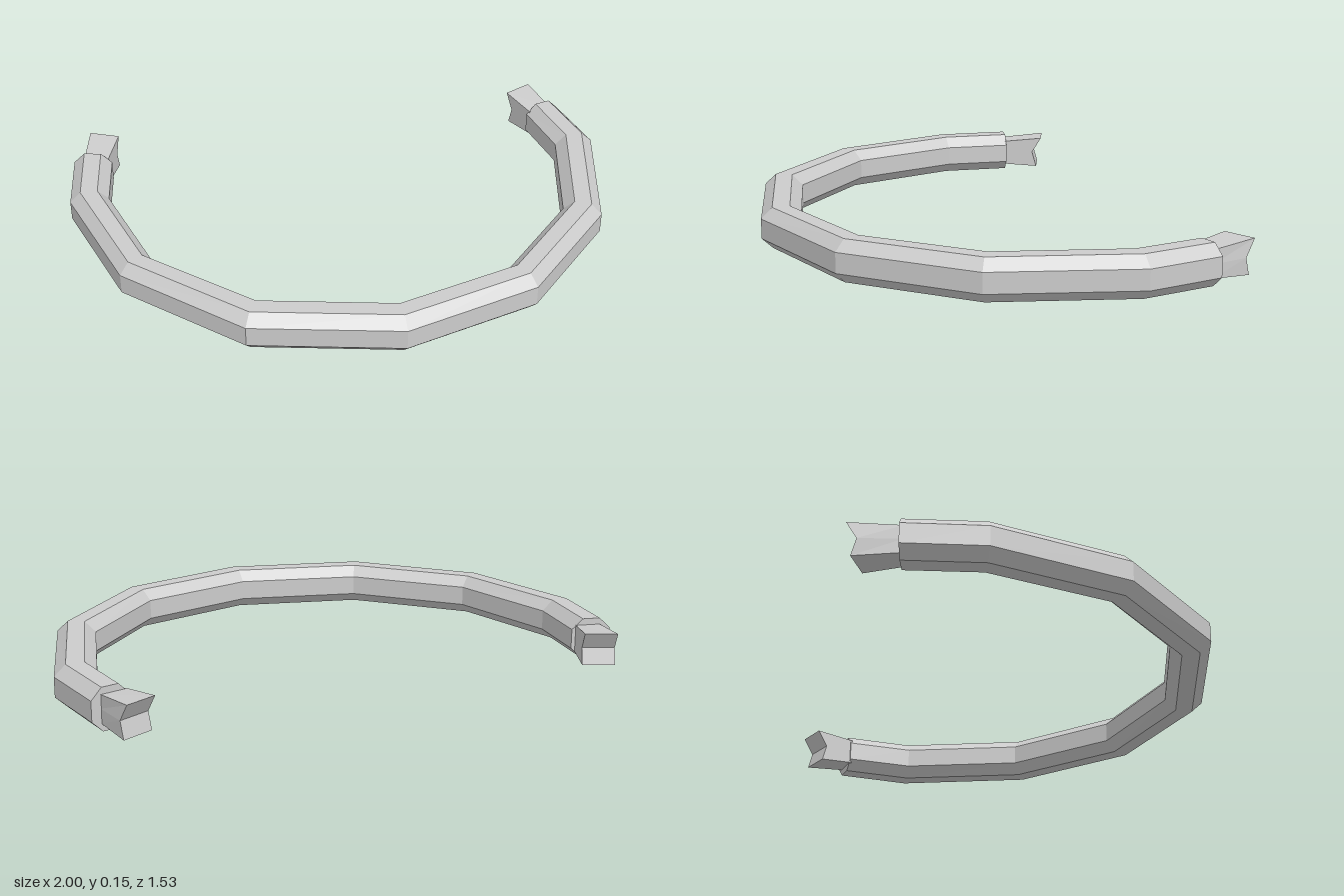
import * as THREE from 'three';

const material = new THREE.MeshStandardMaterial({ color: 0xcccccc, flatShading: true });

// Skin a row of equal-sized rings and close both ends with fans
function loft(name, rings) {
  const n = rings[0].length, pos = [];
  const tri = (...pts) => pts.forEach((p) => pos.push(p.x, p.y, p.z));
  for (let r = 0; r < rings.length - 1; r++) {
    for (let i = 0; i < n; i++) {
      const j = (i + 1) % n;
      const [a, b, c, d] = [rings[r][i], rings[r][j], rings[r + 1][j], rings[r + 1][i]];
      tri(a, d, c);
      tri(a, c, b);
    }
  }
  const first = rings[0], last = rings[rings.length - 1];
  const middle = (ring) => ring[0].clone().lerp(ring[n / 2], 0.5);
  for (let i = 0; i < n; i++) {
    const j = (i + 1) % n;
    tri(middle(first), first[i], first[j]);
    tri(middle(last), last[j], last[i]);
  }
  const geometry = new THREE.BufferGeometry();
  geometry.setAttribute('position', new THREE.Float32BufferAttribute(pos, 3));
  geometry.computeVertexNormals();
  const mesh = new THREE.Mesh(geometry, material);
  mesh.name = name;
  return mesh;
}

// Eight-sided section: [fraction from inner to outer edge, height]
const OCTAGON = [
  [1, 0.038], [1, 0.109], [0.72, 0.147], [0.28, 0.147],
  [0, 0.109], [0, 0.038], [0.28, 0], [0.72, 0],
];

// Mitre joints of the ring: outer x, outer z, inner x, inner z
const JOINTS = [
  [-1.0, -0.38, -0.857, -0.365],
  [-1.0, -0.1, -0.86, -0.115],
  [-0.805, 0.37, -0.7, 0.285],
  [-0.39, 0.7, -0.335, 0.565],
  [0.135, 0.765, 0.115, 0.622],
  [0.603, 0.57, 0.525, 0.455],
  [0.92, 0.16, 0.79, 0.107],
  [1.0, -0.355, 0.855, -0.335],
  [0.92, -0.625, 0.79, -0.575],
];

// Four-cornered terminal section with a mid-height crease;
// mid and low shift the crease and the lower edge along (dx, dz)
function square([ox, oz, ix, iz], y0, y1, [dx, dz] = [0, 0], mid = 0, low = 0) {
  const p = (x, y, z, s) => new THREE.Vector3(x + dx * s, y, z + dz * s);
  const ym = (y0 + y1) / 2;
  return [
    p(ox, ym, oz, mid), p(ox, y1, oz, 0), p(ix, y1, iz, 0),
    p(ix, ym, iz, mid), p(ix, y0, iz, low), p(ox, y0, oz, low),
  ];
}

export function createModel() {
  const group = new THREE.Group();
  group.name = 'openNeckRing';

  // Faceted open ring
  group.add(loft('ringBody', JOINTS.map(([ox, oz, ix, iz]) =>
    OCTAGON.map(([t, y]) => new THREE.Vector3(ix + (ox - ix) * t, y, iz + (oz - iz) * t)))));

  // Flared terminals with notched end faces
  group.add(loft('rightTerminal', [
    square([-0.945, -0.545, -0.835, -0.51], 0.016, 0.137, [-0.25, 1], 0.035, 0.018),
    square([-0.962, -0.365, -0.873, -0.358], 0.026, 0.123),
  ]));
  group.add(loft('leftTerminal', [
    square([0.889, -0.605, 0.8, -0.57], 0.026, 0.123),
    square([0.832, -0.77, 0.732, -0.706], 0.016, 0.137, [0.45, 0.9], 0.038, 0.022),
  ]));
  return group;
}
